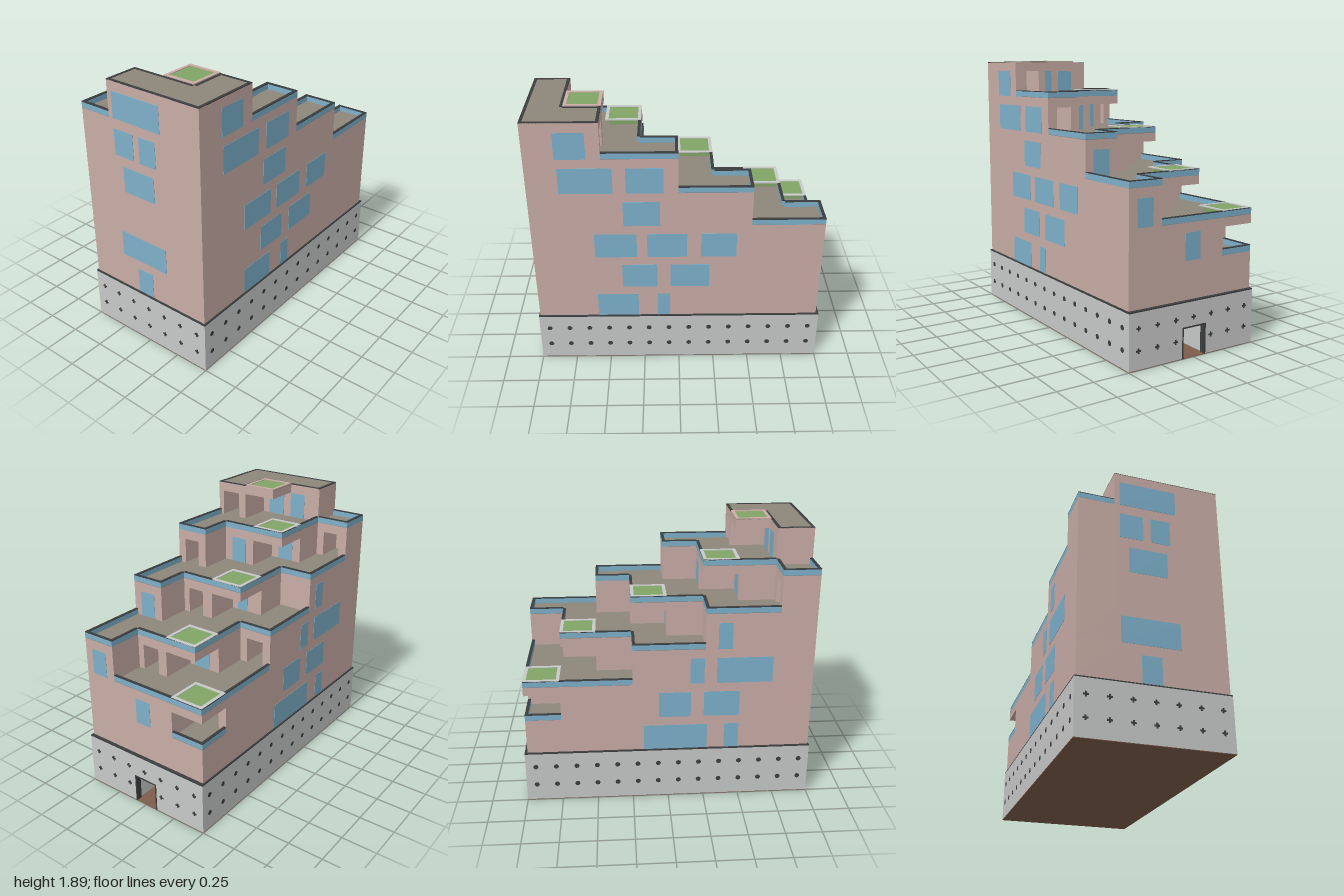
import * as THREE from 'three';

const mat = (name, color) => {
  const m = new THREE.MeshStandardMaterial({ color });
  m.name = name;
  return m;
};

export function createModel() {
  const wall = mat('rose wall', 0xc9ada6), blue = mat('blue glass', 0x7db0ca);
  const stone = mat('pale concrete', 0xc7c9c8), dark = mat('dark trim', 0x3b3d3f);
  const paving = mat('terrace paving', 0x8d867a), grass = mat('grass', 0x82a566);
  const brown = mat('brown floor', 0x7e5d4a);
  const model = new THREE.Group();
  model.name = 'terracedBuilding';

  const group = (name) => {
    const g = new THREE.Group();
    g.name = name;
    model.add(g);
    return g;
  };
  // Box given by its extents on each axis
  const box = (parent, name, m, x0, x1, y0, y1, z0, z1) => {
    const mesh = new THREE.Mesh(new THREE.BoxGeometry(x1 - x0, y1 - y0, z1 - z0), m);
    mesh.position.set((x0 + x1) / 2, (y0 + y1) / 2, (z0 + z1) / 2);
    mesh.name = name;
    parent.add(mesh);
  };

  // Plan grid: 8 cells along x, 4 rows from front to back, 6 storeys from the top down
  const X = (i) => -0.99 + 0.24625 * i;
  const Z = (j) => 0.49 - 0.245 * j;
  const H = 0.25, top = (k) => 1.88 - H * k;
  const solid = [[2, 1, 1, 0], [4, 3, 2, 1], [6, 5, 4, 3], [8, 7, 6, 5], [8, 8, 8, 7], [8, 8, 8, 8]];
  const roof = [[2, 2, 1, 0], [4, 3, 3, 1], [6, 5, 5, 3], [8, 7, 7, 5], [8, 8, 8, 8], [8, 8, 8, 8]];

  // Open doorways on the stepped end walls: 'storey,row' -> z range
  const doorways = {
    '0,0': [0.3, 0.45], '1,0': [0.31, 0.43], '2,1': [0.08, 0.2], '3,1': [0.07, 0.2],
    '1,3': [-0.43, -0.3], '3,3': [-0.43, -0.3], '4,3': [-0.43, -0.3],
  };

  const body = group('body'), terraces = group('terraces'), parapets = group('parapets');
  const T = 0.02;

  for (let k = 0; k < 6; k++) {
    const y = top(k), y0 = y - H;
    for (let j = 0; j < 4; j++) {
      const s = solid[k][j], r = roof[k][j], zf = Z(j), zb = Z(j + 1), xe = X(s);
      const door = doorways[`${k},${j}`];
      // Storey block, with jambs and lintel where there is a doorway
      if (s > 0) {
        const xi = door ? xe - 0.2 : xe;
        box(body, 'storeyBlock', wall, X(0), xi, y0, y, zb, zf);
        if (door) {
          box(body, 'doorJamb', wall, xi, xe, y0, y, door[1], zf);
          box(body, 'doorJamb', wall, xi, xe, y0, y, zb, door[0]);
          box(body, 'doorLintel', wall, xi, xe, y0 + 0.185, y, door[0], door[1]);
          box(body, 'doorwayFloor', paving, xi, xe, y0, y0 + 0.004, door[0], door[1]);
        }
      }
      // Overhanging slab
      if (r > s) box(body, 'overhang', wall, xe, X(r), y - 0.06, y, zb, zf);

      // Terrace floor and edging around the exposed cells
      const ends = k === 0 ? solid[0] : roof[k];
      const start = k === 0 ? 0 : solid[k - 1][j];
      if (r > start) box(terraces, 'terraceFloor', paving, X(start), X(r), y, y + 0.003, zb, zf);
      const edge = (x0, x1, z0, z1) => {
        const h = k === 0 ? 0 : 0.04;
        if (h) box(parapets, 'parapet', blue, x0, x1, y, y + h, z0, z1);
        box(parapets, 'parapetCap', dark, x0, x1, y + h, y + h + 0.005, z0, z1);
      };
      for (let c = start; c < ends[j]; c++) {
        const xa = X(c), xb = X(c + 1);
        if (j === 0) edge(xa, xb, zf - T, zf);
        if (j === 3 || ends[j + 1] <= c) edge(xa, xb, zb, zb + T);
        if (c === ends[j] - 1) edge(xb - T, xb, zb, zf);
        if (c === 0) edge(xa, xa + T, zb, zf);
      }
    }
  }

  // Planted squares on the overhangs: [storey, row, cell]
  const gardens = group('roofGardens');
  for (const [k, j, c] of [[0, 1, 1], [1, 2, 2], [2, 2, 4], [3, 2, 6], [4, 3, 7]]) {
    const m = k === 0 ? wall : stone, h = k === 0 ? 0.012 : 0.048, w = 0.023;
    const x0 = X(c), x1 = X(c + 1), z0 = Z(j + 1), z1 = Z(j), y = top(k);
    const b = y + (k === 0 ? 0 : 0.041);
    box(gardens, 'gardenFrame', m, x0, x1, b, y + h, z1 - w, z1);
    box(gardens, 'gardenFrame', m, x0, x1, b, y + h, z0, z0 + w);
    box(gardens, 'gardenFrame', m, x0, x0 + w, b, y + h, z0 + w, z1 - w);
    box(gardens, 'gardenFrame', m, x1 - w, x1, b, y + h, z0 + w, z1 - w);
    box(gardens, 'lawn', grass, x0 + w, x1 - w, y, y + h - 0.005, z0 + w, z1 - w);
  }

  // Windows: thin panes standing on each storey's floor
  const windows = group('windows');
  const P = 0.002, WH = 0.185;
  const alongX = (z, list) => list.forEach(([k, a, b]) =>
    box(windows, 'window', blue, a, b, top(k) - H, top(k) - H + WH, z - P, z + P));
  const alongZ = (list) => list.forEach(([k, x, a, b]) =>
    box(windows, 'window', blue, x - P, x + P, top(k) - H + 0.004, top(k) - H + WH, a, b));
  alongX(Z(0), [
    [0, -0.79, -0.59], [1, -0.78, -0.43], [1, -0.345, -0.1], [2, -0.37, -0.125],
    [3, -0.57, -0.285], [3, -0.215, 0.055], [3, 0.15, 0.39], [4, -0.39, -0.15],
    [4, -0.06, 0.21], [5, -0.57, -0.285], [5, -0.15, -0.065],
  ]);
  alongX(Z(4), [
    [2, -0.43, -0.335], [3, -0.71, -0.33], [3, -0.245, -0.15], [4, -0.49, -0.245],
    [4, -0.155, 0.065], [5, -0.27, 0.17], [5, -0.49, -0.39],
  ]);
  alongZ([
    // left-hand end wall
    [0, X(0), -0.21, 0.18], [1, X(0), -0.21, -0.05], [1, X(0), 0, 0.135],
    [2, X(0), -0.15, 0.11], [4, X(0), -0.21, 0.18], [5, X(0), -0.08, 0.05],
    // stepped end walls
    [0, X(1), 0.06, 0.19], [0, X(1), -0.12, 0], [1, X(3), 0.065, 0.185], [1, X(2), -0.18, -0.06],
    [2, X(6), 0.31, 0.43], [2, X(4), -0.13, -0.045], [3, X(8), 0.31, 0.43],
    [3, X(6), -0.165, -0.045], [4, X(8), -0.06, 0.06],
  ]);

  // Concrete base with an entrance recess at the +x end
  const base = group('base');
  const B = 0.37, xi = 0.72, d0 = -0.1, d1 = 0.09, dh = 0.21;
  box(base, 'baseBlock', stone, -1, xi, 0.004, B, -0.5, 0.5);
  box(base, 'entranceSide', stone, xi, 1, 0.004, B, d1, 0.5);
  box(base, 'entranceSide', stone, xi, 1, 0.004, B, -0.5, d0);
  box(base, 'entranceLintel', stone, xi, 1, dh, B, d0, d1);
  box(base, 'baseFloor', brown, -1, 1, 0, 0.004, -0.5, 0.5);
  box(base, 'baseCap', dark, -1, 1, B, B + 0.008, -0.5, 0.5);
  box(base, 'entranceFrame', dark, 0.96, 1.002, 0.004, dh, d1 - 0.01, d1);
  box(base, 'entranceFrame', dark, 0.96, 1.002, 0.004, dh, d0, d0 + 0.01);
  box(base, 'entranceFrame', dark, 0.96, 1.002, dh - 0.01, dh, d0, d1);

  // Dark studs in two rows around the base
  const studs = group('baseStuds');
  const studGeo = new THREE.CylinderGeometry(0.018, 0.018, 0.004, 8).rotateX(Math.PI / 2);
  for (const y of [0.125, 0.268]) {
    for (let i = 0; i < 14; i++) {
      for (const side of [-1, 1]) {
        const stud = new THREE.Mesh(studGeo, dark);
        stud.name = 'stud';
        stud.position.set(-0.93 + i * 0.143, y, side * 0.5);
        studs.add(stud);
      }
    }
    for (let i = 0; i < 7; i++) {
      const z = -0.429 + i * 0.143;
      for (const x of [-1, 1]) {
        if (x > 0 && y < dh && z > d0 && z < d1) continue;
        box(studs, 'crossStud', dark, x - P, x + P, y - 0.017, y + 0.017, z - 0.006, z + 0.006);
        box(studs, 'crossStud', dark, x - P, x + P, y - 0.006, y + 0.006, z - 0.017, z + 0.017);
      }
    }
  }
  return model;
}
